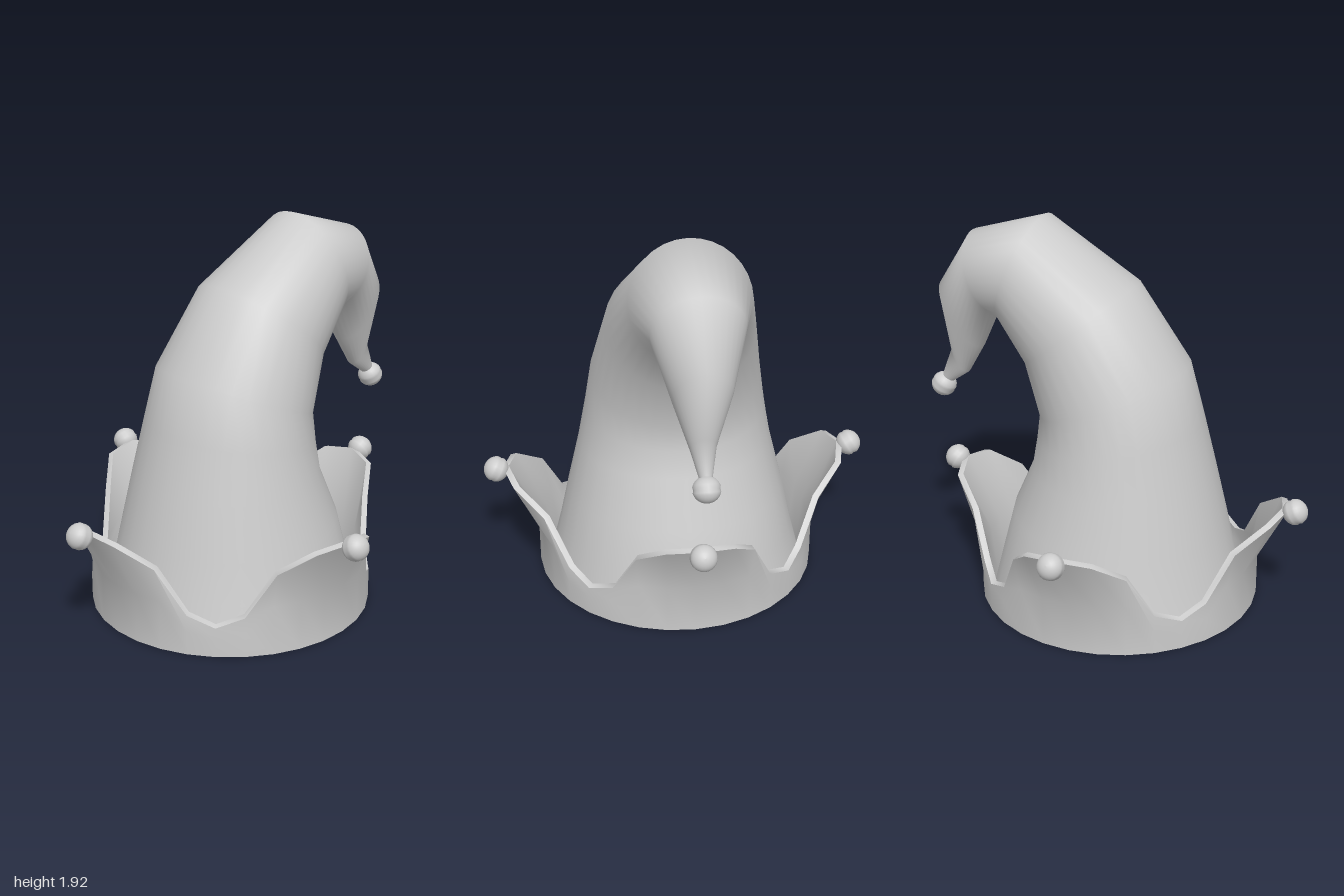
import * as THREE from 'three';
import { toCreasedNormals } from 'three/addons/utils/BufferGeometryUtils.js';

const CX = -0.035; // centre line of the brim
const SEG = 32;

// Skin a stack of closed rings; point(row, k) gives [x, y, z]
function skin(rows, point) {
  const pos = [], idx = [];
  for (let r = 0; r < rows; r++) {
    for (let k = 0; k < SEG; k++) {
      pos.push(...point(r, k));
      if (r === rows - 1) continue;
      const n = (k + 1) % SEG;
      const a = r * SEG + k, c = r * SEG + n;
      idx.push(a, a + SEG, c + SEG, a, c + SEG, c);
    }
  }
  const g = new THREE.BufferGeometry();
  g.setAttribute('position', new THREE.Float32BufferAttribute(pos, 3));
  g.setIndex(idx);
  g.computeVertexNormals();
  return g;
}

// Drooping cone: each ring is outer x, y, inner x, y, half depth
function bodyGeometry() {
  const rings = [
    [-0.685, 0, 0.615, 0, 0.65],
    [-0.63, 0.2, 0.56, 0.22, 0.597],
    [-0.585, 0.4, 0.5, 0.45, 0.55],
    [-0.52, 0.67, 0.395, 0.69, 0.488],
    [-0.45, 0.95, 0.37, 0.83, 0.45],
    [-0.375, 1.23, 0.355, 0.95, 0.42],
    [-0.11, 1.62, 0.43, 1.2, 0.36],
    [0.355, 1.925, 0.565, 1.395, 0.285],
    [0.735, 1.815, 0.61, 1.42, 0.215],
    [0.915, 1.535, 0.7, 1.21, 0.135],
    [0.87, 1.19, 0.785, 1.06, 0.06],
    [0.93, 1.04, 0.885, 0.99, 0.03],
  ];
  return skin(rings.length, (r, k) => {
    const [ox, oy, ix, iy, h] = rings[r];
    const t = (k / SEG) * Math.PI * 2, c = Math.cos(t);
    return [
      (ox + ix) / 2 + ((ix - ox) / 2) * c,
      (oy + iy) / 2 + ((iy - oy) / 2) * c,
      h * Math.sin(t),
    ];
  });
}

// Brim with four flared points, as a thin closed shell
function brimGeometry() {
  const topY = [0.57, 0.545, 0.43, 0.2, 0.15]; // from point to valley
  const topR = [0.875, 0.846, 0.748, 0.702, 0.707];
  const wall = 0.03;
  const g = skin(7, (r, k) => {
    const q = k % 8, i = q > 4 ? 8 - q : q;
    const midY = Math.min(0.25, topY[i] * 0.6);
    const [rad, y] = [
      [0.65, 0],
      [0.708, 0],
      [0.708, midY],
      [topR[i], topY[i]],
      [topR[i] - wall, topY[i] + 0.008],
      [0.708 - wall, midY],
      [0.65, 0],
    ][r];
    const t = (k / SEG) * Math.PI * 2;
    return [CX + rad * Math.cos(t), y, rad * Math.sin(t)];
  });
  return toCreasedNormals(g, 0.9);
}

// Round bell with a shallow groove round its middle
function bellGeometry() {
  const R = 0.065, pts = [];
  for (let i = 0; i <= 16; i++) {
    const a = -Math.PI / 2 + (i / 16) * Math.PI;
    const r = i === 8 ? R * 0.93 : R * Math.cos(a);
    pts.push(new THREE.Vector2(Math.max(r, 0), R * 0.95 * Math.sin(a)));
  }
  return new THREE.LatheGeometry(pts, 20);
}

export function createModel() {
  const group = new THREE.Group();
  const material = new THREE.MeshStandardMaterial({ color: 0xcccccc, side: THREE.DoubleSide });
  const add = (name, geometry) => {
    const mesh = new THREE.Mesh(geometry, material);
    mesh.name = name;
    group.add(mesh);
    return mesh;
  };

  add('hatBody', bodyGeometry());
  add('pointedBrim', brimGeometry());

  const bell = bellGeometry();
  const up = new THREE.Vector3(0, 1, 0);
  const addBell = (name, position, axis) => {
    const mesh = add(name, bell);
    mesh.position.copy(position);
    mesh.quaternion.setFromUnitVectors(up, axis.normalize());
  };

  // One bell on each brim point
  ['leftBell', 'frontBell', 'rightBell', 'backBell'].forEach((name, i) => {
    const x = Math.round(Math.cos((i * Math.PI) / 2));
    const z = Math.round(Math.sin((i * Math.PI) / 2));
    addBell(name, new THREE.Vector3(CX + 0.908 * x, 0.565, 0.908 * z), new THREE.Vector3(x * 0.85, 0.5, z * 0.85));
  });
  // Bell on the drooping tip
  addBell('tipBell', new THREE.Vector3(0.932, 0.973, 0), new THREE.Vector3(0.5, -0.8, 0));

  return group;
}
